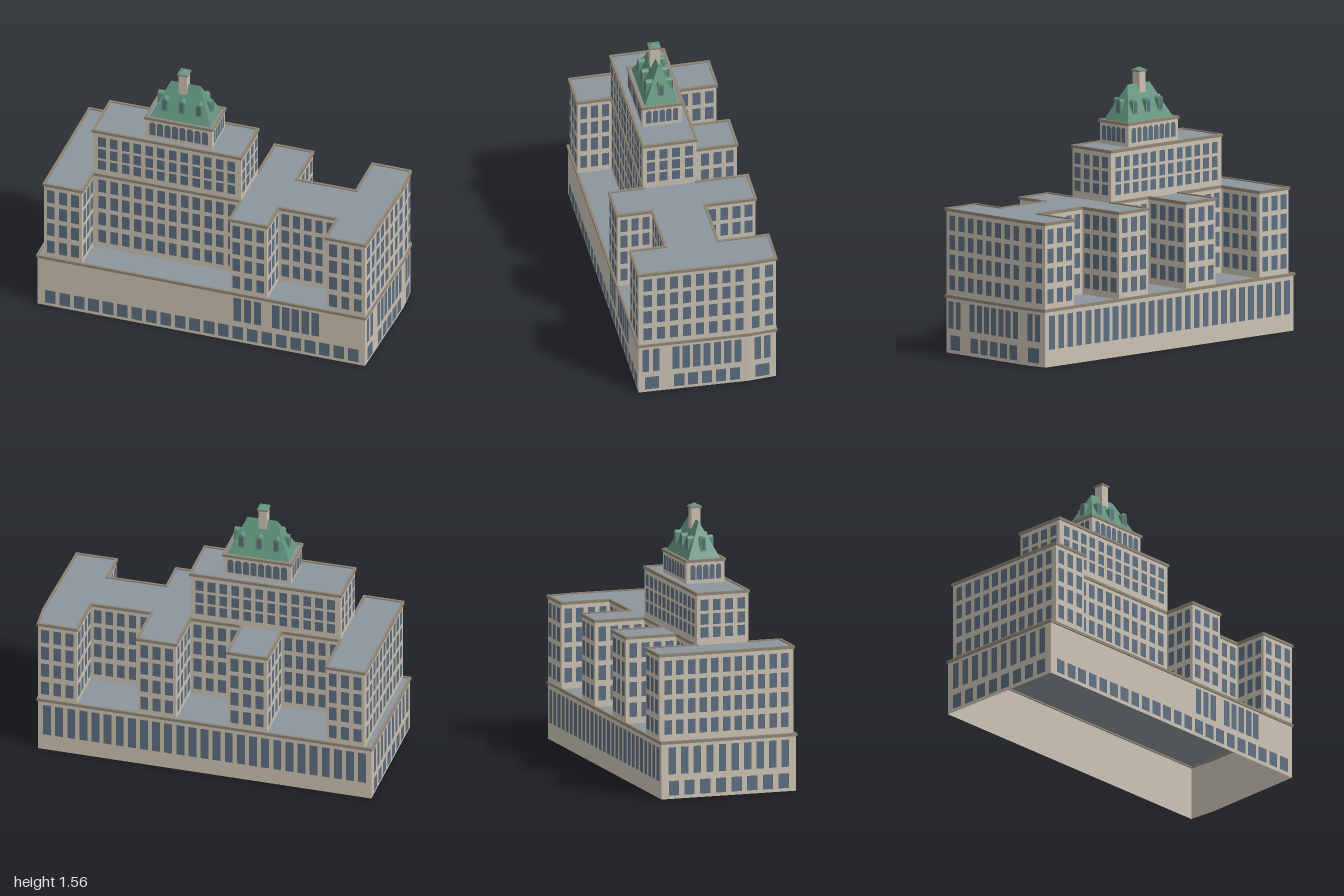
import * as THREE from 'three';
import { mergeGeometries } from 'three/addons/utils/BufferGeometryUtils.js';

export function createModel() {
  const model = new THREE.Group();
  const paint = (name, color, side = THREE.FrontSide) => {
    const m = new THREE.MeshStandardMaterial({ color, side });
    m.name = name;
    return m;
  };
  const stone = paint('stone', 0xcac1b2, THREE.DoubleSide);
  const roofing = paint('grey roofing', 0x8c959c, THREE.DoubleSide);
  const glass = paint('window glass', 0x5d6d80, THREE.DoubleSide);
  const trim = paint('cornice trim', 0x8f8575);
  const copper = paint('green copper', 0x62937d);

  const add = (name, geometry, material, parent = model) => {
    const mesh = new THREE.Mesh(geometry, material);
    mesh.name = name;
    parent.add(mesh);
    return mesh;
  };

  // Plans are lists of [x, z], running along the front towards +x and round the back
  const shapeOf = (plan) => new THREE.Shape(plan.map(([x, z]) => new THREE.Vector2(x, -z)));
  const raise = (shape, y0, y1) =>
    new THREE.ExtrudeGeometry(shape, { depth: y1 - y0, bevelEnabled: false }).rotateX(-Math.PI / 2).translate(0, y0, 0);
  const edges = (plan) => plan.map((p, i) => [p, plan[(i + 1) % plan.length]]);
  const rect = (x0, x1, z0, z1) => [[x0, z1], [x1, z1], [x1, z0], [x0, z0]];
  const normal = ([x0, z0], [x1, z1]) => {
    const l = Math.hypot(x1 - x0, z1 - z0);
    return [-(z1 - z0) / l, (x1 - x0) / l];
  };
  const offset = (plan, d) => plan.map((p, i) => {
    const a = normal(plan[(i + plan.length - 1) % plan.length], p);
    const b = normal(p, plan[(i + 1) % plan.length]);
    const k = d / (1 + a[0] * b[0] + a[1] * b[1]);
    return [p[0] + (a[0] + b[0]) * k, p[1] + (a[1] + b[1]) * k];
  });

  // Low parapet ring that overhangs the wall
  const cornice = (name, plan, y0, y1) => {
    const ring = shapeOf(offset(plan, 0.007));
    ring.holes.push(shapeOf(offset(plan, -0.007)));
    add(name, raise(ring, y0, y1), trim);
  };

  // Outline with a round head, standing on y = 0
  const archShape = (w, h) => {
    const s = new THREE.Shape();
    s.moveTo(-w / 2, 0);
    s.lineTo(w / 2, 0);
    s.lineTo(w / 2, h - w / 2);
    s.absarc(0, h - w / 2, w / 2, 0, Math.PI, false);
    s.closePath();
    return s;
  };

  // Row of n panes on the wall from p to q, centred at distance s from p
  const row = (out, p, q, s, n, pitch, w, y0, y1, arched = false) => {
    const [nx, nz] = normal(p, q);
    for (let i = 0; i < n; i++) {
      const d = s + (i - (n - 1) / 2) * pitch;
      const pane = arched
        ? new THREE.ShapeGeometry(archShape(w, y1 - y0), 5)
        : new THREE.PlaneGeometry(w, y1 - y0).translate(0, (y1 - y0) / 2, 0);
      pane.rotateY(Math.atan2(nx, nz));
      pane.translate(p[0] + nz * d + nx * 0.003, y0, p[1] - nx * d + nz * 0.003);
      out.push(pane);
    }
  };

  // Regular storeys of windows on every wall of a plan
  const storeys = (name, plan, rows) => {
    const out = [];
    for (const [p, q] of edges(plan)) {
      const len = Math.hypot(q[0] - p[0], q[1] - p[1]);
      const n = Math.max(1, Math.round(len / 0.075));
      const pitch = (len / n) * 0.955;
      for (const [y0, y1] of rows) row(out, p, q, len / 2, n, pitch, Math.min(0.047, pitch * 0.64), y0, y1);
    }
    add(name, mergeGeometries(out), glass);
  };

  // Podium, open underneath
  const front = (x) => 0.396 + 0.005 * (x + 1);
  const back = (x) => -0.417 + 0.011 * (x + 1);
  const podium = [[-1, front(-1)], [0.975, front(0.975)], [0.993, -0.23], [0.98, back(0.98)], [-1, back(-1)]];
  const walls = edges(podium).map(([p, q]) => {
    const [nx, nz] = normal(p, q);
    return new THREE.PlaneGeometry(Math.hypot(q[0] - p[0], q[1] - p[1]), 0.328)
      .rotateY(Math.atan2(nx, nz))
      .translate((p[0] + q[0]) / 2, 0.164, (p[1] + q[1]) / 2);
  });
  add('podiumWalls', mergeGeometries(walls), stone);
  add('podiumRoof', new THREE.ShapeGeometry(shapeOf(podium)).rotateX(-Math.PI / 2).translate(0, 0.328, 0), roofing);
  cornice('podiumCornice', podium, 0.318, 0.335);

  // Podium windows: front, right side, back, left side
  const panes = [];
  const [a, b, c, d, e] = podium;
  const low = [0.02, 0.105], tall = [0.143, 0.3];
  row(panes, a, b, 0.992, 22, 0.087, 0.064, ...low);
  row(panes, a, b, 1.267, 3, 0.061, 0.043, ...tall);
  row(panes, a, b, 1.557, 5, 0.06, 0.045, ...tall);
  row(panes, b, c, 0.071, 2, 0.06, 0.038, ...tall);
  row(panes, b, c, 0.396, 7, 0.06, 0.042, ...tall);
  row(panes, b, c, 0.076, 1, 0, 0.082, ...low);
  row(panes, b, c, 0.396, 5, 0.081, 0.06, ...low);
  row(panes, c, d, 0.083, 2, 0.056, 0.038, ...tall);
  row(panes, c, d, 0.083, 1, 0, 0.082, ...low);
  row(panes, d, e, 0.99, 27, 0.072, 0.047, 0.1, 0.295);
  row(panes, e, a, 0.406, 10, 0.076, 0.045, ...tall);
  row(panes, e, a, 0.406, 8, 0.095, 0.062, ...low);
  // Panes on the inner face of the front wall
  row(panes, b, a, 1.275, 7, 0.1, 0.075, 0.13, 0.28, true);
  row(panes, b, a, 1.275, 9, 0.087, 0.064, ...low);
  row(panes, b, a, 1.85, 4, 0.058, 0.04, ...tall);
  add('podiumWindows', mergeGeometries(panes), glass);

  // Wings round open courts
  const f = (x) => [x, front(x)], k = (x) => [x, back(x)];
  const wings = [
    f(-0.96), f(-0.73), [-0.73, 0.2], [0.16, 0.2], f(0.16), f(0.385), [0.385, 0.2], [0.74, 0.2], f(0.74),
    b, c, d, k(0.75), [0.75, -0.105], [0.39, -0.105], k(0.39), k(0.16), [0.16, -0.105],
    [-0.145, -0.105], k(-0.145), k(-0.38), [-0.38, -0.105], [-0.73, -0.105], k(-0.73), k(-0.96),
  ];
  add('wings', raise(shapeOf(wings), 0.329, 0.828), [roofing, stone]);
  cornice('wingCornice', wings, 0.818, 0.835);
  storeys('wingWindows', wings, [[0.367, 0.45], [0.485, 0.57], [0.599, 0.683], [0.71, 0.795]]);

  // Tall central slab
  const slab = rect(-0.73, 0.16, -0.105, 0.205);
  add('slab', raise(shapeOf(slab), 0.82, 1.125), [roofing, stone]);
  cornice('slabCornice', slab, 1.115, 1.132);
  storeys('slabWindows', slab, [[0.87, 0.93], [0.945, 1.008], [1.025, 1.09]]);

  // Penthouse with an arcade of round-headed windows
  const penthouse = rect(-0.425, -0.025, -0.06, 0.17);
  add('penthouse', raise(shapeOf(penthouse), 1.12, 1.258), [roofing, stone]);
  cornice('penthouseCornice', penthouse, 1.248, 1.264);
  const arcade = [];
  edges(penthouse).forEach(([p, q], i) =>
    row(arcade, p, q, i % 2 ? 0.115 : 0.2, i % 2 ? 5 : 8, i % 2 ? 0.039 : 0.045, i % 2 ? 0.031 : 0.036, 1.148, 1.234, true));
  add('penthouseWindows', mergeGeometries(arcade), glass);

  // Steep hipped roof
  const A = [-0.405, 1.259, 0.152], B = [-0.04, 1.259, 0.152], C = [-0.04, 1.259, -0.042], D = [-0.405, 1.259, -0.042];
  const E = [-0.31, 1.463, 0.055], F = [-0.135, 1.463, 0.055];
  const hip = new THREE.BufferGeometry();
  hip.setAttribute('position', new THREE.Float32BufferAttribute(
    [A, B, F, A, F, E, B, C, F, C, D, E, C, E, F, D, A, E].flat(), 3));
  hip.computeVertexNormals();
  add('hippedRoof', hip, copper);

  // Round-headed dormers: three on each long slope, one on each end
  const dormer = (x, z, angle) => {
    const g = new THREE.Group();
    g.name = 'dormer';
    add('dormerBody', new THREE.ExtrudeGeometry(archShape(0.036, 0.1),
      { depth: 0.07, bevelEnabled: false, curveSegments: 6 }).translate(0, 0, -0.07), copper, g);
    add('dormerWindow', new THREE.ShapeGeometry(archShape(0.022, 0.062), 5).translate(0, 0.026, 0.003), glass, g);
    g.position.set(x, 1.285, z);
    g.rotation.y = angle;
    model.add(g);
  };
  for (const x of [-0.324, -0.2225, -0.118]) {
    dormer(x, 0.132, 0);
    dormer(x, -0.022, Math.PI);
  }
  dormer(-0.06, 0.055, Math.PI / 2);
  dormer(-0.385, 0.055, -Math.PI / 2);

  // Chimney with a small pyramid cap
  add('chimney', new THREE.BoxGeometry(0.05, 0.13, 0.056).translate(-0.23, 1.47, 0.058), stone);
  add('chimneyRim', new THREE.BoxGeometry(0.062, 0.01, 0.068).translate(-0.23, 1.535, 0.058), trim);
  add('chimneyCap', new THREE.ConeGeometry(0.044, 0.018, 4).toNonIndexed().rotateY(Math.PI / 4)
    .translate(-0.23, 1.549, 0.058), copper);

  return model;
}
